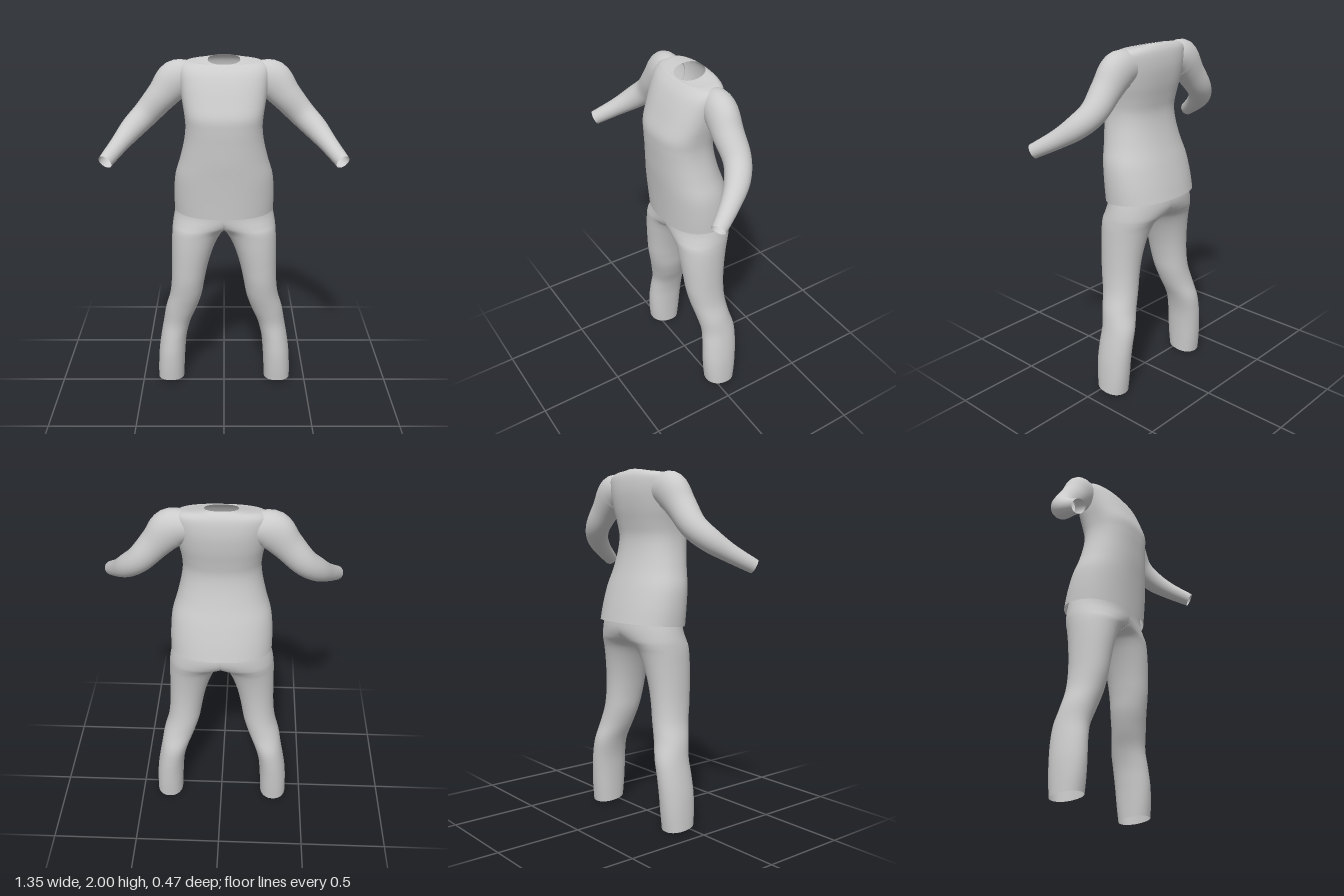
import * as THREE from 'three';

const SIDES = 48, STEPS = 5;
const fabric = new THREE.MeshStandardMaterial({ color: 0xcccccc, side: THREE.DoubleSide });

// Smoothly subdivide a table of rows (Catmull-Rom on every column)
function refine(rows) {
  const out = [], last = rows.length - 1;
  const row = (i) => rows[Math.min(last, Math.max(0, i))];
  for (let i = 0; i < last; i++) {
    for (let s = 0; s < STEPS; s++) {
      const t = s / STEPS;
      out.push(row(i).map((b, k) => {
        const a = row(i - 1)[k], c = row(i + 1)[k], d = row(i + 2)[k];
        return b + 0.5 * t * (c - a + t * (2 * a - 5 * b + 4 * c - d + t * (3 * (b - c) + d - a)));
      }));
    }
  }
  out.push(rows[last]);
  return out;
}

const spow = (v, p) => Math.sign(v) * Math.pow(Math.abs(v), 2 / p);

// Level ring from [y, xMin, xMax, zFront, zBack, squareness, tilt]
function levelRing([y, x0, x1, zf, zb, p, tilt], clamp) {
  return Array.from({ length: SIDES }, (_, j) => {
    const a = (j / SIDES) * Math.PI * 2, c = spow(Math.cos(a), p), s = spow(Math.sin(a), p);
    const x = (x0 + x1) / 2 + c * (x1 - x0) / 2;
    return new THREE.Vector3(clamp ? Math.max(0, x) : x, y + tilt * s, (zf + zb) / 2 + s * (zf - zb) / 2);
  });
}

// Rings square to a path, from [x, y, z, heightRadius, depthRadius]
function pathRings(rows) {
  const centre = rows.map((r) => new THREE.Vector3(r[0], r[1], r[2]));
  const zAxis = new THREE.Vector3(0, 0, 1);
  return rows.map((r, i) => {
    const t = centre[Math.min(i + 1, rows.length - 1)].clone().sub(centre[Math.max(i - 1, 0)]).normalize();
    const u = t.clone().cross(zAxis).normalize(), v = u.clone().cross(t);
    return Array.from({ length: SIDES }, (_, j) => {
      const a = (j / SIDES) * Math.PI * 2;
      return centre[i].clone().addScaledVector(u, Math.cos(a) * r[3]).addScaledVector(v, Math.sin(a) * r[4]);
    });
  });
}

const mirror = (rings) => rings.map((ring) => ring.map((p) => new THREE.Vector3(-p.x, p.y, p.z)).reverse());

// Open skin over a stack of rings; halves are left open on the centre plane
function skin(name, rings, half = false) {
  const pts = rings.flat(), index = [];
  const onSeam = (i) => half && Math.abs(pts[i].x) < 1e-5;
  for (let i = 0; i < rings.length - 1; i++) {
    for (let j = 0; j < SIDES; j++) {
      const a = i * SIDES + j, b = i * SIDES + (j + 1) % SIDES, c = a + SIDES, d = b + SIDES;
      for (const tri of [[a, c, b], [b, c, d]]) if (!tri.every(onSeam)) index.push(...tri);
    }
  }
  const geo = new THREE.BufferGeometry().setFromPoints(pts);
  geo.setIndex(index);
  geo.computeVertexNormals();
  // Shade the two halves continuously across the seam
  const n = geo.attributes.normal;
  pts.forEach((p, i) => {
    if (!onSeam(i)) return;
    const l = Math.hypot(n.getY(i), n.getZ(i)) || 1;
    n.setXYZ(i, 0, n.getY(i) / l, n.getZ(i) / l);
  });
  const mesh = new THREE.Mesh(geo, fabric);
  mesh.name = name;
  return mesh;
}

export function createModel() {
  const model = new THREE.Group();
  model.name = 'outfit';

  // Shirt body: hem, waist, chest, shoulders, neckline
  const shirt = new THREE.Group();
  shirt.name = 'shirt';
  const body = [
    [1.14, 0.284, 0.162, -0.234, 2.2, -0.015],
    [1.24, 0.284, 0.17, -0.212, 2.2, -0.006],
    [1.35, 0.274, 0.18, -0.182, 2.2, 0],
    [1.45, 0.245, 0.19, -0.15, 2.2, 0],
    [1.55, 0.221, 0.196, -0.125, 2.3, 0],
    [1.63, 0.212, 0.2, -0.116, 2.4, 0],
    [1.7, 0.217, 0.197, -0.125, 2.5, 0],
    [1.78, 0.23, 0.167, -0.14, 2.5, 0],
    [1.86, 0.24, 0.133, -0.148, 2.5, 0],
    [1.92, 0.245, 0.1, -0.145, 2.5, 0],
    [1.957, 0.235, 0.07, -0.136, 2.5, -0.004],
    [1.975, 0.2, 0.053, -0.122, 2.4, -0.009],
    [1.979, 0.15, 0.048, -0.112, 2.3, -0.013],
    [1.983, 0.088, 0.045, -0.105, 2.2, -0.017],
  ].map(([y, w, ...rest]) => [y, -w, w, ...rest]);
  shirt.add(skin('shirtBody', refine(body).map((r) => levelRing(r))));

  // Sleeves: shoulder, elbow, open cuff
  const sleeve = pathRings(refine([
    [0.17, 1.89, -0.045, 0.08, 0.07],
    [0.26, 1.872, -0.042, 0.106, 0.082],
    [0.34, 1.787, -0.037, 0.086, 0.08],
    [0.43, 1.687, -0.033, 0.073, 0.073],
    [0.505, 1.615, 0.015, 0.065, 0.066],
    [0.57, 1.547, 0.1, 0.05, 0.052],
    [0.637, 1.477, 0.213, 0.04, 0.04],
  ]));
  shirt.add(skin('leftSleeve', sleeve), skin('rightSleeve', mirror(sleeve)));

  // Trousers: each half runs from the ankle opening to the hip
  const trousers = new THREE.Group();
  trousers.name = 'trousers';
  const leg = refine([
    [0.012, 0.25, 0.408, 0.048, -0.135, 2.2, 0.011],
    [0.1, 0.246, 0.406, 0.056, -0.145, 2.2, 0.004],
    [0.2, 0.24, 0.4, 0.06, -0.153, 2.1, 0],
    [0.3, 0.23, 0.386, 0.055, -0.158, 2.1, 0],
    [0.4, 0.205, 0.368, 0.05, -0.156, 2.1, 0],
    [0.5, 0.165, 0.35, 0.068, -0.132, 2.1, 0],
    [0.6, 0.133, 0.322, 0.092, -0.12, 2.1, 0],
    [0.7, 0.115, 0.31, 0.112, -0.117, 2.1, 0],
    [0.8, 0.094, 0.306, 0.122, -0.122, 2.1, 0],
    [0.9, 0.063, 0.304, 0.13, -0.135, 2.1, 0],
    [0.98, 0.025, 0.302, 0.134, -0.152, 2.1, 0],
    [1.025, -0.02, 0.299, 0.137, -0.17, 2.1, 0],
    [1.06, -0.12, 0.295, 0.138, -0.19, 2.1, 0],
    [1.12, -0.26, 0.284, 0.14, -0.207, 2.1, 0],
    [1.2, -0.27, 0.268, 0.145, -0.2, 2.1, 0],
  ]).map((r) => levelRing(r, true));
  trousers.add(skin('leftTrouserHalf', leg, true), skin('rightTrouserHalf', mirror(leg), true));

  model.add(shirt, trousers);
  return model;
}
